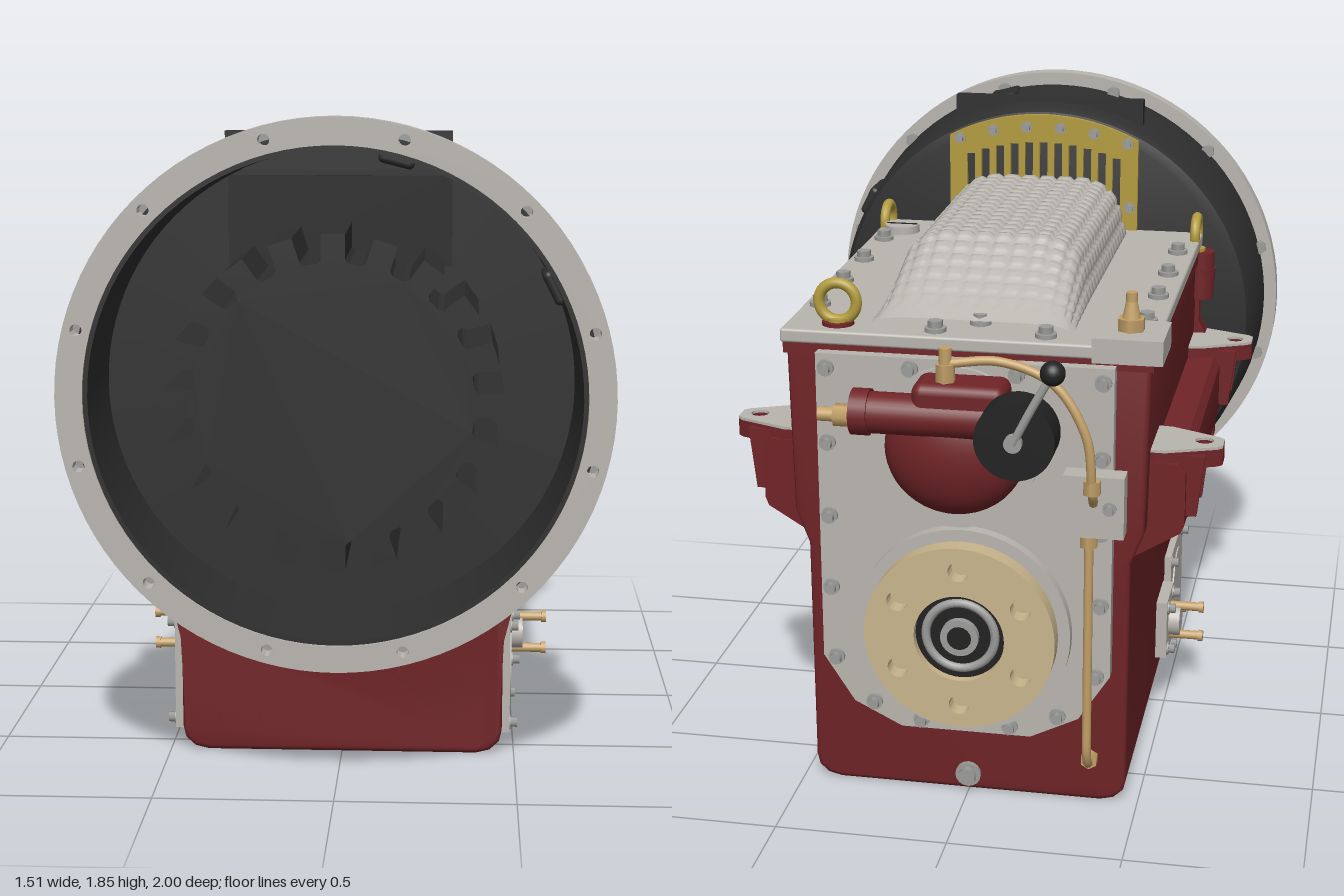
import * as THREE from 'three';
import { toCreasedNormals } from 'three/addons/utils/BufferGeometryUtils.js';
import { RoundedBoxGeometry } from 'three/addons/geometries/RoundedBoxGeometry.js';

const mat = (name, color) => Object.assign(new THREE.MeshStandardMaterial({ color }), { name });
const red = mat('red paint', 0x702427), grey = mat('machined grey', 0xb9b5af), black = mat('black casting', 0x2e2e2e),
  dark = mat('dark steel', 0x222222), gold = mat('gold', 0xb39c3e), brass = mat('brass', 0xc3a068),
  cream = mat('cream', 0xc9b58c), silver = mat('bolt steel', 0x9c9c9a);
const PI = Math.PI, CY = 1.1;

export function createModel() {
  const root = new THREE.Group();
  root.name = 'gearbox';

  // helpers
  const add = (name, geo, m, x = 0, y = 0, z = 0) => {
    const o = new THREE.Mesh(geo, m);
    o.name = name;
    o.position.set(x, y, z);
    root.add(o);
    return o;
  };
  const turn = (g, axis) => (axis === 'x' ? g.rotateZ(-PI / 2) : axis === 'z' ? g.rotateX(PI / 2) : g);
  const cyl = (name, m, r, h, axis, x, y, z, seg = 32, r2 = r) =>
    add(name, turn(new THREE.CylinderGeometry(r2, r, h, seg), axis), m, x, y, z);
  const box = (name, m, x0, x1, y0, y1, z0, z1, r = 0) => add(name,
    r ? new RoundedBoxGeometry(x1 - x0, y1 - y0, z1 - z0, 3, r) : new THREE.BoxGeometry(x1 - x0, y1 - y0, z1 - z0),
    m, (x0 + x1) / 2, (y0 + y1) / 2, (z0 + z1) / 2);
  const poly = (pts) => new THREE.Shape(pts.map((p) => new THREE.Vector2(...p)));
  const circle = (x, y, r) => new THREE.Path().absarc(x, y, r, 0, PI * 2);
  const extrude = (shape, depth, bevel = 0) => toCreasedNormals(new THREE.ExtrudeGeometry(shape, {
    depth: depth - 2 * bevel, bevelEnabled: bevel > 0, bevelSize: bevel, bevelThickness: bevel, bevelOffset: -bevel,
    bevelSegments: 3, curveSegments: 48 }).translate(0, 0, bevel), 0.6);
  const lathe = (pts, seg = 96) => toCreasedNormals(
    new THREE.LatheGeometry(pts.map((p) => new THREE.Vector2(...p)), seg).rotateX(PI / 2), 0.5);
  const tube = (name, m, pts, r) => add(name,
    new THREE.TubeGeometry(new THREE.CatmullRomCurve3(pts.map((p) => new THREE.Vector3(...p)), false, 'centripetal'), 48, r, 10), m);
  const bolt = (x, y, z, axis, r = 0.02) => {
    cyl('washer', silver, r * 1.4, 0.012, axis, x, y, z, 16);
    cyl('bolt', silver, r, 0.05, axis, x, y, z, 6);
  };
  const ring = (x, y, z, sideways) => {
    const g = new THREE.TorusGeometry(0.054, 0.016, 12, 32);
    add('liftingEye', sideways ? g.rotateY(PI / 2) : g, gold, x, y, z);
    cyl('liftingEyeCollar', gold, 0.03, 0.03, 'y', x, y - 0.06, z, 16);
  };

  // main case: rounded sump, wider shoulder above the side rails
  const half = [[0.39, 0], [0.43, 0.01], [0.457, 0.035], [0.465, 0.07], [0.467, 0.75], [0.505, 0.85], [0.515, 1.36]];
  const mirrored = (h) => poly([...h, ...h.map(([x, y]) => [-x, y]).reverse()]);
  add('case', extrude(mirrored(half), 1.27, 0.015), red, 0, 0, -0.68);
  const flare = [[0.4, 0.02], [0.455, 0.06], [0.468, 0.34], [0.495, 0.45], [0.535, 0.58], [0.585, 0.72], [0.59, 1.0], [0.525, 1.12], [0.525, 1.34]];
  add('frontFlare', extrude(mirrored(flare), 0.06), red, 0, 0, 0.53);
  box('caseLip', red, -0.522, 0.522, 1.325, 1.36, -0.685, 0.59);

  // side rails, lugs, covers and pipe stubs
  for (const s of [1, -1]) {
    const rail = poly([[0.46, 0.75], [0.6, 0.835], [0.61, 0.86], [0.61, 1.015], [0.59, 1.04], [0.46, 1.04]].map(([x, y]) => [s * x, y]));
    add('sideRail', extrude(rail, 1.15), red, 0, 0, -0.62);
    for (const [z, e] of [[0.48, 1], [-0.51, -1]]) {
      const plan = poly([[0.5, -0.105 * e], [0.55, -0.1 * e], [0.69, -0.035 * e], [0.705, -0.02 * e], [0.705, 0.035 * e],
        [0.69, 0.05 * e], [0.55, 0.105 * e], [0.5, 0.105 * e]].map(([x, y]) => [s * x, y]));
      plan.holes.push(circle(s * 0.65, 0, 0.026));
      add('mountingLug', extrude(plan, 0.05).rotateX(PI / 2), red, 0, 1.07, z);
      add('lugFace', extrude(plan, 0.008).rotateX(PI / 2), grey, 0, 1.078, z);
      box('lugBlock', red, s > 0 ? 0.5 : -0.63, s > 0 ? 0.63 : -0.5, 0.87, 1.06, z - 0.085, z + 0.085, 0.02);
      for (const d of [-0.075, 0.075]) {
        const web = poly([[0.5, 1.06], [0.5, 0.88], [0.64, 0.88], [0.66, 1.06]].map(([x, y]) => [s * x, y]));
        add('lugWeb', extrude(web, 0.025), red, 0, 0, z + d - 0.0125);
      }
    }
    cyl('coverPlateDisc', grey, 0.13, 0.026, 'x', s * 0.479, 0.23, 0.4, 48);
    box('sideCover', grey, s * 0.475 - 0.0125, s * 0.475 + 0.0125, 0.06, 0.4, 0.23, 0.57);
    for (const y of [0.085, 0.375]) for (const z of [0.255, 0.545]) bolt(s * 0.485, y, z, 'x', 0.015);
    box('portPlate', grey, s * 0.48 - 0.02, s * 0.48 + 0.02, 0.14, 0.33, 0.02, 0.2);
    for (const y of [0.165, 0.305]) for (const z of [0.045, 0.175]) bolt(s * 0.5, y, z, 'x', 0.015);
    cyl('portBoss', grey, 0.05, 0.06, 'x', s * 0.505, 0.235, 0.115);
    for (const y of [0.185, 0.285]) {
      cyl('portPipe', brass, 0.014, 0.12, 'x', s * 0.545, y, 0.115, 16);
      cyl('portPipeBead', brass, 0.018, 0.015, 'x', s * 0.6, y, 0.115, 16);
    }
    ring(s * 0.51, 1.41, 0.53, true);
    cyl('eyeBoss', red, 0.045, 0.15, 'y', s * 0.525, 1.28, 0.53);
    cyl('eyeBossFoot', red, 0.038, 0.1, 'y', s * 0.53, 1.25, 0.53, 24, 0.045);
  }
  add('blackKnob', new THREE.SphereGeometry(0.034, 24, 16), dark, 0.545, 1.165, 0.51);
  cyl('knobStem', silver, 0.014, 0.1, 'y', 0.545, 1.1, 0.51, 12);
  box('ratingPlate', cream, 0.508, 0.517, 1.05, 1.21, -0.03, 0.205);
  for (const y of [1.07, 1.19]) for (const z of [-0.01, 0.185]) cyl('rivet', silver, 0.007, 0.006, 'x', 0.518, y, z, 8);

  // top cover with bolts, plug, breather and lifting eye
  box('topCover', grey, -0.525, 0.525, 1.36, 1.4, -0.705, 0.59, 0.008);
  box('breatherPad', grey, -0.55, -0.355, 1.355, 1.425, -0.72, -0.525);
  for (const z of [-0.47, -0.21, 0.04, 0.3]) for (const x of [-0.475, 0.47]) bolt(x, 1.41, z, 'y', 0.022);
  for (const [x, z] of [[-0.22, -0.66], [0.09, -0.66], [-0.22, 0.56], [0.22, 0.56], [-0.02, -0.57]]) bolt(x, 1.41, z, 'y', 0.022);
  cyl('fillerPlug', grey, 0.056, 0.03, 'y', 0.44, 1.41, 0.43);
  box('plugSlot', dark, 0.39, 0.49, 1.42, 1.427, 0.426, 0.434);
  cyl('breatherBase', brass, 0.04, 0.04, 'y', -0.45, 1.44, -0.62, 6);
  cyl('breather', brass, 0.028, 0.06, 'y', -0.45, 1.48, -0.62, 16, 0.015);
  cyl('breatherTip', brass, 0.016, 0.025, 'y', -0.45, 1.52, -0.62, 12);
  ring(0.375, 1.465, -0.63, false);
  cyl('eyePad', red, 0.045, 0.012, 'y', 0.375, 1.404, -0.63);

  // waffled dome: one section swept along z, pressed in at the cell borders
  const sec = new THREE.Path();
  sec.moveTo(-0.29, 0);
  sec.lineTo(-0.27, 0.08);
  sec.quadraticCurveTo(-0.25, 0.18, -0.14, 0.19);
  sec.lineTo(0.14, 0.19);
  sec.quadraticCurveTo(0.25, 0.18, 0.27, 0.08);
  sec.lineTo(0.29, 0);
  const N = 14 * 5, M = 22 * 5, S = sec.getSpacedPoints(N), pos = [], idx = [];
  for (let j = 0; j <= M; j++) {
    const z = -0.6 + (1.1 * j) / M, t = THREE.MathUtils.smoothstep(z, -0.68, -0.24);
    const k = z > -0.27 ? 1 : 0.08 + 0.92 * Math.min(1, t * 0.35 + 0.65 * (z + 0.6) / 0.33);
    for (let i = 0; i <= N; i++) {
      const groove = z > -0.54 && (i % 5 === 0 || j % 5 === 0) ? 0.014 : 0;
      const p = S[i];
      pos.push(p.x * (1 - groove * 2), 1.4 + p.y * k * (1 - groove * 5), z);
      if (i < N && j < M) {
        const a = j * (N + 1) + i, b = a + N + 1;
        idx.push(a, b, a + 1, b, b + 1, a + 1);
      }
    }
  }
  const dome = new THREE.BufferGeometry();
  dome.setAttribute('position', new THREE.Float32BufferAttribute(pos, 3));
  dome.setIndex(idx);
  dome.computeVertexNormals();
  add('waffleDome', dome, grey);
  add('domeFront', new THREE.ShapeGeometry(new THREE.Shape(S)), grey, 0, 1.4, 0.499);

  // bell housing, bolted flange and toothed ring
  add('bellHousing', lathe([[0, 0.59], [0.645, 0.59], [0.675, 0.598], [0.69, 0.625], [0.712, 0.886], [0.712, 0.9], [0.69, 0.9],
    [0.69, 0.938], [0.665, 0.938], [0.655, 0.64], [0, 0.64]]), black, 0, CY, 0);
  const flange = new THREE.Shape().absarc(0, 0, 0.753, 0, PI * 2);
  flange.holes.push(circle(0, 0, 0.678));
  for (let i = 0; i < 12; i++) {
    const a = PI / 12 + (i * PI) / 6, x = 0.716 * Math.cos(a), y = 0.716 * Math.sin(a);
    flange.holes.push(circle(x, y, 0.016));
    cyl('flangeBolt', silver, 0.022, 0.03, 'z', x, CY + y, 0.877, 6);
  }
  add('bellFlange', extrude(flange, 0.058), grey, 0, CY, 0.887);
  box('topBar', black, -0.31, 0.31, 1.7, 1.805, 0.68, 0.725);
  box('innerWindow', dark, -0.31, 0.31, 1.43, 1.68, 0.64, 0.648);
  for (const a of [0.25, 1.1]) {
    const rib = box('housingBoss', black, -0.05, 0.05, -0.04, 0.04, -0.075, 0.075, 0.015);
    rib.position.set(0.68 * Math.sin(a), CY + 0.68 * Math.cos(a), 0.81);
    rib.rotation.z = -a;
  }
  const gearPts = [];
  for (let i = 0; i < 20; i++) {
    for (const [r, d] of [[0.375, -0.115], [0.385, -0.085], [0.452, -0.072], [0.452, 0.072], [0.385, 0.085], [0.375, 0.115]]) {
      const a = (i * PI) / 10 + d;
      gearPts.push([r * Math.cos(a), r * Math.sin(a)]);
    }
  }
  add('toothedRing', extrude(poly(gearPts), 0.36), black, 0, CY, 0.64);

  // vent grille on the back of the bell
  const a0 = Math.acos(0.31 / 0.67), vent = new THREE.Shape();
  vent.moveTo(-0.31, 0.3);
  vent.lineTo(0.31, 0.3);
  vent.absarc(0, 0, 0.67, a0, PI - a0);
  for (let i = -5; i <= 5; i++) {
    const x = i * 0.048, top = Math.sqrt(0.67 ** 2 - x * x) - 0.09;
    vent.holes.push(poly([[x - 0.013, 0.38], [x - 0.013, top], [x + 0.013, top], [x + 0.013, 0.38]]));
    if (i % 2) bolt(x * 1.15, CY + top + 0.05, 0.575, 'z', 0.013);
  }
  add('ventGrille', extrude(vent, 0.015), gold, 0, CY, 0.574);
  for (const x of [-0.285, 0.285]) bolt(x, 1.475, 0.575, 'z', 0.013);

  // rear plate and output flange
  const rear = poly([[-0.42, 1.34], [-0.42, 0.42], [-0.33, 0.28], [-0.19, 0.21], [0.19, 0.21], [0.33, 0.28], [0.42, 0.42], [0.42, 1.34]]);
  add('rearPlate', extrude(rear, 0.045), grey, 0, 0, -0.72);
  for (const s of [1, -1]) {
    for (const [x, y] of [[0.39, 1.3], [0.39, 1.08], [0.39, 0.86], [0.39, 0.64], [0.38, 0.42], [0.27, 0.285], [0.13, 0.24], [0.15, 1.31]])
      bolt(s * x, y, -0.725, 'z', 0.017);
  }
  const OY = 0.545;
  cyl('bearingCover', grey, 0.31, 0.04, 'z', 0, OY, -0.735, 64);
  const out = new THREE.Shape().absarc(0, 0, 0.275, 0, PI * 2);
  out.holes.push(circle(0, 0, 0.13));
  for (let i = 0; i < 6; i++) out.holes.push(circle(0.205 * Math.sin(i * PI / 3), 0.205 * Math.cos(i * PI / 3), 0.03));
  add('outputFlange', extrude(out, 0.055), cream, 0, OY, -0.81);
  cyl('flangeHub', cream, 0.2, 0.03, 'z', 0, OY, -0.755, 48).scale.set(0.8, 0.8, 1);
  for (let i = 0; i < 6; i++)
    cyl('flangeHole', cream, 0.032, 0.004, 'z', 0.205 * Math.sin(i * PI / 3), OY + 0.205 * Math.cos(i * PI / 3), -0.757, 20);
  cyl('seal', dark, 0.13, 0.02, 'z', 0, OY, -0.775, 48);
  add('sealRing', new THREE.TorusGeometry(0.1, 0.013, 8, 40), silver, 0, OY, -0.785);
  cyl('outputShaft', silver, 0.055, 0.03, 'z', 0, OY, -0.79, 24);
  cyl('shaftBore', dark, 0.035, 0.034, 'z', 0, OY, -0.79, 16);
  bolt(0, 0.055, -0.69, 'z', 0.027);

  // control valve, lever and oil lines
  add('valveBody', new THREE.SphereGeometry(0.2, 40, 24).scale(1, 0.95, 0.6), red, 0.02, 1.09, -0.735);
  cyl('valveCover', grey, 0.235, 0.02, 'z', 0.02, 1.09, -0.727, 48);
  box('valveBlock', red, -0.14, 0.12, 1.16, 1.31, -0.86, -0.72, 0.03);
  cyl('valveBarrel', red, 0.058, 0.38, 'x', 0.1, 1.21, -0.815);
  cyl('valveBarrelEnd', red, 0.065, 0.05, 'x', 0.265, 1.21, -0.815, 24);
  cyl('valveFitting', brass, 0.032, 0.05, 'x', 0.315, 1.2, -0.825, 6);
  cyl('valveFittingTip', brass, 0.02, 0.06, 'x', 0.355, 1.2, -0.825, 12);
  cyl('leverDrum', dark, 0.11, 0.1, 'z', -0.185, 1.2, -0.908, 40);
  cyl('leverDrumNeck', dark, 0.07, 0.06, 'z', -0.185, 1.2, -0.84);
  cyl('leverPivot', silver, 0.025, 0.025, 'z', -0.185, 1.2, -0.966, 16);
  tube('lever', silver, [[-0.185, 1.2, -0.97], [-0.23, 1.29, -0.972], [-0.29, 1.4, -0.968]], 0.012);
  add('leverKnob', new THREE.SphereGeometry(0.034, 24, 16), dark, -0.29, 1.4, -0.966);
  cyl('lineFitting', brass, 0.028, 0.06, 'y', 0.03, 1.33, -0.81, 6);
  cyl('lineFittingTop', brass, 0.018, 0.05, 'y', 0.03, 1.38, -0.81, 12);
  box('lineBlock', grey, -0.46, -0.29, 0.87, 1.05, -0.785, -0.72);
  bolt(-0.42, 0.96, -0.785, 'z', 0.014);
  tube('upperOilLine', brass, [[0.03, 1.36, -0.81], [-0.12, 1.37, -0.8], [-0.27, 1.32, -0.82], [-0.36, 1.18, -0.83], [-0.375, 1.02, -0.815], [-0.375, 0.97, -0.78]], 0.013);
  cyl('lineNut', brass, 0.026, 0.04, 'y', -0.375, 1.03, -0.81, 6);
  tube('lowerOilLine', brass, [[-0.36, 0.88, -0.755], [-0.36, 0.7, -0.755], [-0.36, 0.3, -0.755], [-0.36, 0.18, -0.75], [-0.36, 0.14, -0.72], [-0.36, 0.14, -0.67]], 0.013);
  for (const [y, z, ax] of [[0.85, -0.755, 'y'], [0.14, -0.69, 'z']]) cyl('lineNut', brass, 0.026, 0.035, ax, -0.36, y, z, 6);
  return root;
}
